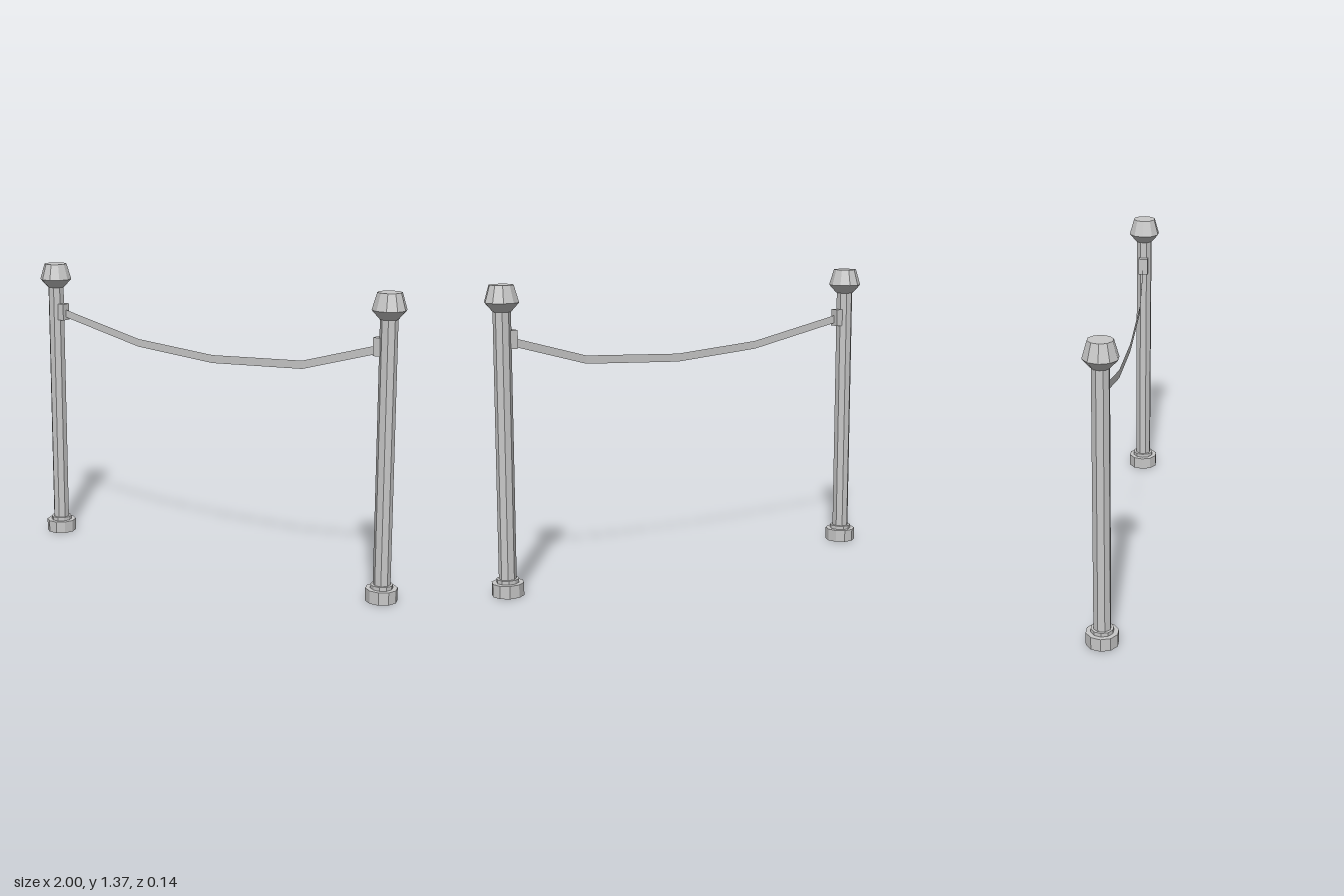
import * as THREE from 'three';

export function createModel() {
  const group = new THREE.Group();
  group.name = 'ropeBarrier';
  const metal = new THREE.MeshStandardMaterial({ color: 0xc8c8c8, flatShading: true });
  metal.name = 'grey';
  const ribbonGrey = new THREE.MeshStandardMaterial({ color: 0xc8c8c8, flatShading: true, side: THREE.DoubleSide });
  ribbonGrey.name = 'strap grey';

  const add = (parent, name, geometry, x, y, z = 0) => {
    const mesh = new THREE.Mesh(geometry, metal);
    mesh.name = name;
    mesh.position.set(x, y, z);
    parent.add(mesh);
    return mesh;
  };
  // faceted drum between two heights; turn rotates the facets
  const drum = (parent, name, rTop, rBottom, y0, y1, sides, turn) => {
    const g = new THREE.CylinderGeometry(rTop, rBottom, y1 - y0, sides);
    g.rotateY(turn);
    return add(parent, name, g, 0, (y0 + y1) / 2);
  };

  // two posts, each with base, collar, pole, head and strap clip
  for (const side of [-1, 1]) {
    const post = new THREE.Group();
    post.name = side < 0 ? 'rightPost' : 'leftPost';
    post.position.x = side * 0.923;
    drum(post, 'base', 0.072, 0.072, 0, 0.058, 10, Math.PI / 2);
    drum(post, 'collar', 0.05, 0.05, 0.058, 0.075, 10, Math.PI / 2);
    drum(post, 'pole', 0.039, 0.039, 0.075, 1.25, 8, Math.PI / 8);
    drum(post, 'headUnderside', 0.076, 0.04, 1.25, 1.29, 10, Math.PI / 2);
    drum(post, 'headTop', 0.054, 0.076, 1.29, 1.365, 10, Math.PI / 2);
    add(post, 'clip', new THREE.BoxGeometry(0.04, 0.08, 0.045), -side * 0.042, 1.13);
    group.add(post);
  }

  // sagging flat strap: centre line points, each widened to a top and bottom edge
  const path = [[-0.87, 1.124, 0], [-0.4, 1.023, 0.016], [0.03, 0.99, 0.02], [0.51, 1.014, 0.018], [0.865, 1.114, 0]];
  const positions = [], index = [];
  path.forEach(([x, y, z], i) => {
    positions.push(x, y + 0.0185, z, x, y - 0.0185, z);
    if (i > 0) {
      const a = 2 * (i - 1);
      index.push(a, a + 1, a + 2, a + 2, a + 1, a + 3);
    }
  });
  const strapGeometry = new THREE.BufferGeometry();
  strapGeometry.setAttribute('position', new THREE.Float32BufferAttribute(positions, 3));
  strapGeometry.setIndex(index);
  strapGeometry.computeVertexNormals();
  const strap = new THREE.Mesh(strapGeometry, ribbonGrey);
  strap.name = 'strap';
  group.add(strap);

  return group;
}
